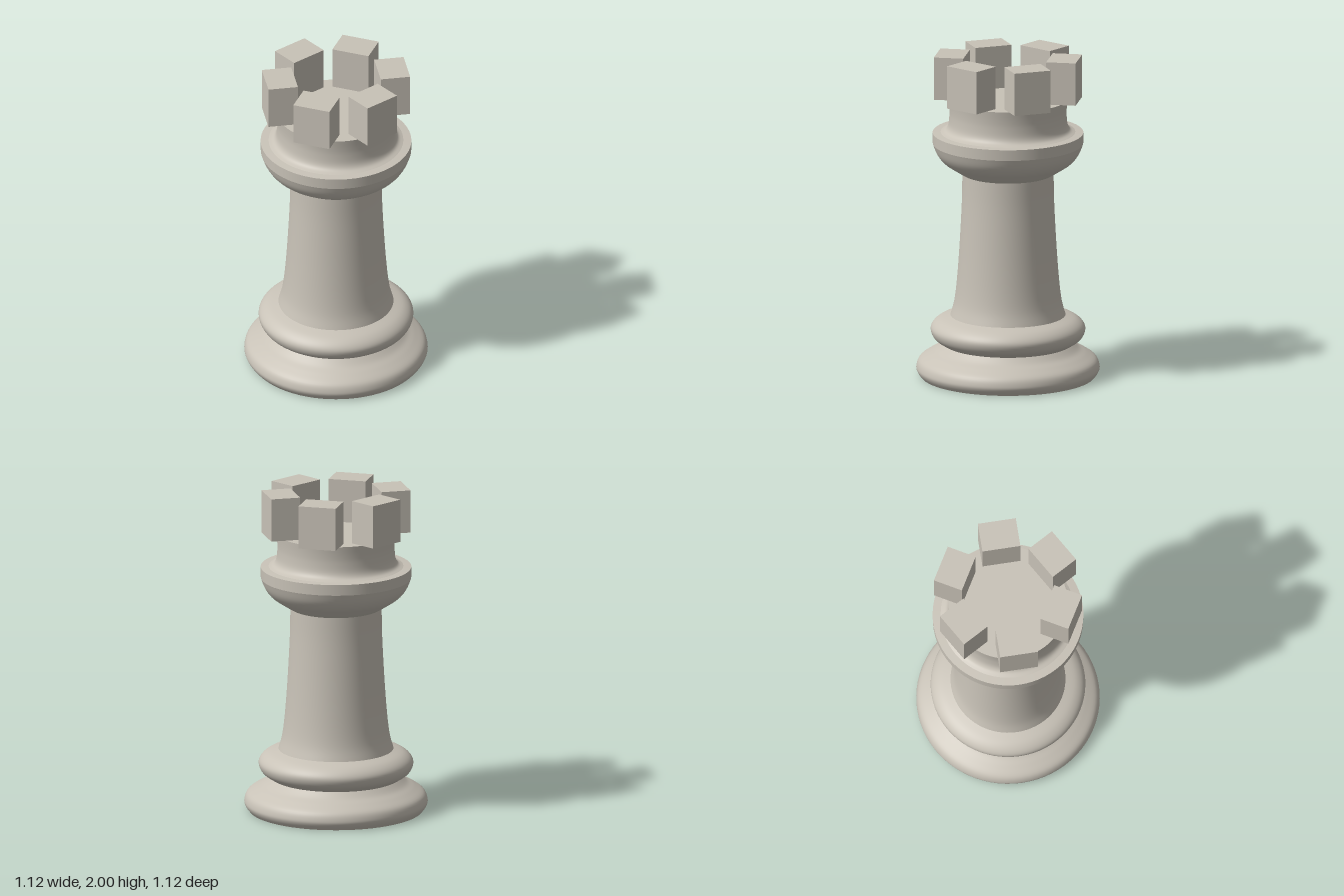
import * as THREE from 'three';

const SEGMENTS = 72;

export function createModel() {
  const group = new THREE.Group();
  const stone = new THREE.MeshStandardMaterial({ color: 0xc8c2b7 });
  stone.name = 'warm grey stone';

  const add = (name, geometry) => {
    const mesh = new THREE.Mesh(geometry, stone);
    mesh.name = name;
    group.add(mesh);
    return mesh;
  };

  // Turned section: [radius, height] points listed upwards; a curve is smoothed
  const turn = (name, profile, smooth = true) => {
    let points = profile.map(([r, y]) => new THREE.Vector2(r, y));
    if (smooth) points = new THREE.SplineCurve(points).getPoints(points.length * 4);
    return add(name, new THREE.LatheGeometry(points, SEGMENTS));
  };

  // Foot
  turn('footUnderside', [[0, 0], [0.53, 0]], false);
  turn('foot', [[0.53, 0], [0.552, 0.03], [0.558, 0.06], [0.54, 0.105], [0.485, 0.142],
    [0.435, 0.17], [0.395, 0.205]]);

  // Rounded ring above the foot
  turn('ring', [[0.395, 0.205], [0.45, 0.242], [0.471, 0.29], [0.457, 0.328],
    [0.415, 0.36], [0.35, 0.382]]);

  // Tapered shaft
  turn('shaft', [[0.35, 0.382], [0.329, 0.46], [0.314, 0.57], [0.3, 0.74],
    [0.288, 0.94], [0.28, 1.12], [0.278, 1.268]]);

  // Flared collar with a straight rim and a flat top
  turn('collarFlare', [[0.278, 1.268], [0.335, 1.303], [0.395, 1.345], [0.434, 1.395],
    [0.458, 1.455]]);
  turn('collarRim', [[0.458, 1.455], [0.459, 1.522]], false);
  turn('collarTop', [[0.459, 1.522], [0.41, 1.526]], false);

  // Neck rising from the collar in a soft fillet, closed by a flat platform
  turn('neck', [[0.41, 1.526], [0.38, 1.54], [0.363, 1.572], [0.357, 1.63], [0.358, 1.68],
    [0.363, 1.735]]);
  turn('platform', [[0.363, 1.735], [0, 1.735]], false);

  // Six battlements standing around the platform
  const battlements = new THREE.Group();
  battlements.name = 'battlements';
  const block = new THREE.BoxGeometry(0.182, 0.265, 0.234);
  for (let i = 0; i < 6; i++) {
    const angle = (i * Math.PI) / 3;
    const mesh = new THREE.Mesh(block, stone);
    mesh.name = 'battlement';
    mesh.position.set(0.347 * Math.cos(angle), 1.8675, -0.347 * Math.sin(angle));
    mesh.rotation.y = angle;
    battlements.add(mesh);
  }
  group.add(battlements);

  return group;
}
